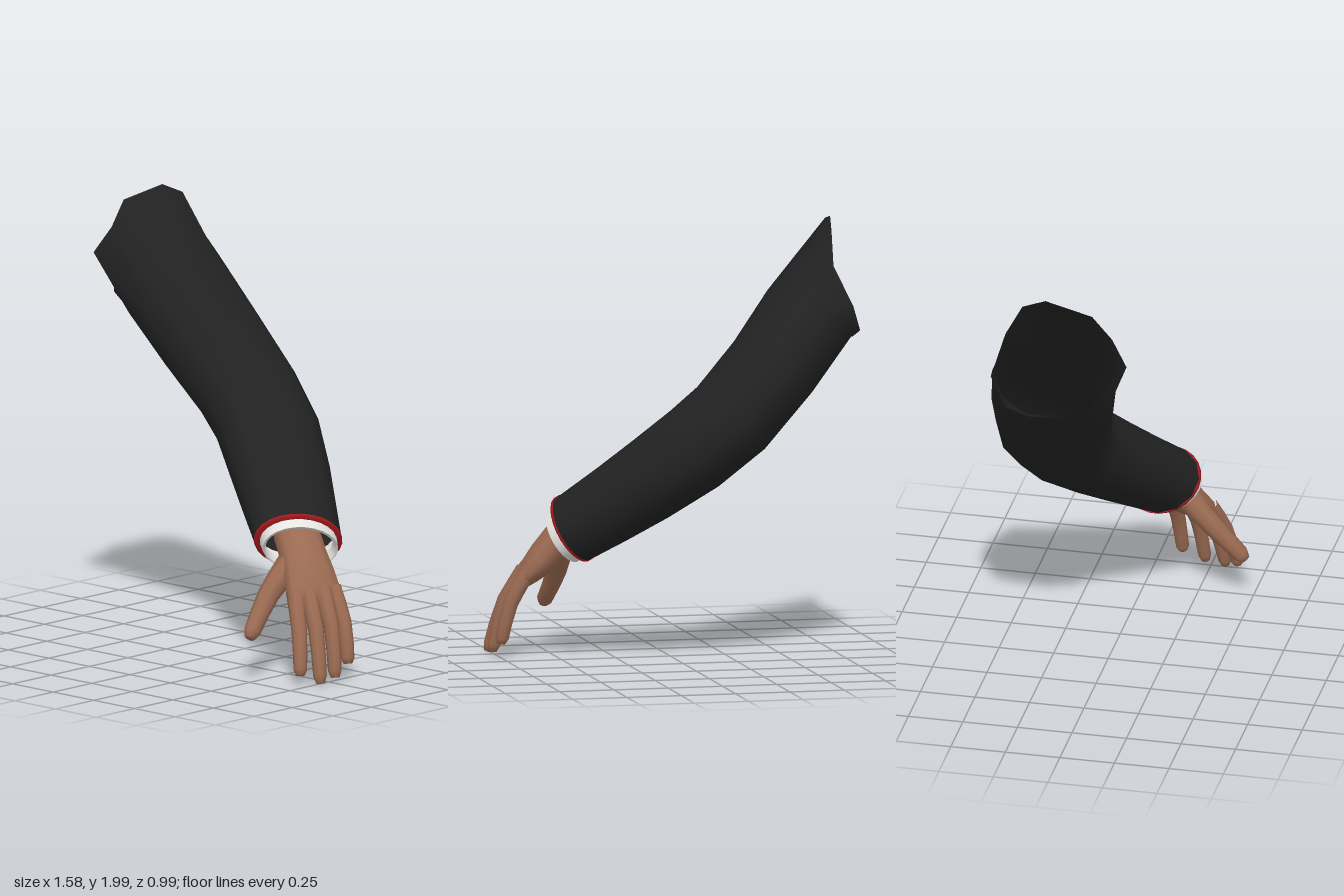
import * as THREE from 'three';

const vec = (p) => new THREE.Vector3(p[0], p[1], p[2]);

// Skin elliptical rings [x, y, z, a, b]: a is the half height, b the half width along `side`.
// `edge` replaces the points of the first ring; `cap` closes the far end.
function loft(rings, { segments = 12, side = [0, 0, 1], edge = null, cap = false } = {}) {
  const centres = rings.map(vec);
  const pos = [], index = [];
  rings.forEach(([, , , a, b], i) => {
    const t = centres[Math.min(i + 1, rings.length - 1)].clone()
      .sub(centres[Math.max(i - 1, 0)]).normalize();
    const v = vec(side);
    v.addScaledVector(t, -v.dot(t)).normalize();
    const u = v.clone().cross(t);
    for (let j = 0; j < segments; j++) {
      const ang = (j / segments) * Math.PI * 2;
      const p = i === 0 && edge ? vec(edge[j])
        : centres[i].clone().addScaledVector(u, a * Math.cos(ang)).addScaledVector(v, b * Math.sin(ang));
      pos.push(p.x, p.y, p.z);
    }
  });
  for (let i = 0; i < rings.length - 1; i++) {
    for (let j = 0; j < segments; j++) {
      const k = (j + 1) % segments, r = i * segments, s = r + segments;
      index.push(r + j, r + k, s + k, r + j, s + k, s + j);
    }
  }
  if (cap) {
    const c = centres[centres.length - 1], last = (rings.length - 1) * segments;
    pos.push(c.x, c.y, c.z);
    for (let j = 0; j < segments; j++) index.push(last + j, last + ((j + 1) % segments), last + segments);
  }
  const g = new THREE.BufferGeometry();
  g.setAttribute('position', new THREE.Float32BufferAttribute(pos, 3));
  g.setIndex(index);
  g.computeVertexNormals();
  return g;
}

// Tapered digit along a smooth path, with a blunt tip
function digit(points, r0, r1) {
  const curve = new THREE.CatmullRomCurve3(points.map(vec));
  const rings = [0, 0.25, 0.5, 0.75, 0.93, 1].map((t) => {
    const p = curve.getPoint(t);
    const r = t === 1 ? r1 * 0.65 : r0 + (r1 - r0) * t;
    return [p.x, p.y, p.z, r, r];
  });
  return loft(rings, { segments: 8, cap: true });
}

export function createModel() {
  const model = new THREE.Group();
  model.name = 'arm';
  const mat = (name, color) => {
    const m = new THREE.MeshStandardMaterial({ color });
    m.name = name;
    return m;
  };
  const cloth = mat('black cloth', 0x222222);
  const trimRed = mat('red trim', 0xb01c20);
  const linen = mat('white linen', 0xe6e5e2);
  const skin = mat('brown skin', 0x9c6b52);
  for (const m of [cloth, trimRed, linen]) m.side = THREE.DoubleSide;

  const add = (name, geometry, material, parent = model) => {
    const mesh = new THREE.Mesh(geometry, material);
    mesh.name = name;
    parent.add(mesh);
  };

  // Sleeve with a torn shoulder edge, listed from the top round the front
  const tornEdge = [
    [-0.69, 2.0, -0.19], [-0.72, 1.96, 0.03], [-0.71, 1.85, 0.12], [-0.75, 1.74, 0.195],
    [-0.68, 1.65, 0.13], [-0.78, 1.53, 0.03], [-0.79, 1.47, -0.1], [-0.78, 1.46, -0.25],
    [-0.79, 1.5, -0.35], [-0.74, 1.62, -0.43], [-0.66, 1.8, -0.38], [-0.67, 1.95, -0.3],
  ];
  add('sleeve', loft([
    [-0.73, 1.72, -0.12, 0.2, 0.28],
    [-0.6, 1.56, -0.17, 0.21, 0.28],
    [-0.42, 1.33, -0.22, 0.205, 0.275],
    [-0.22, 1.11, -0.25, 0.205, 0.257],
    [-0.06, 0.97, -0.21, 0.2, 0.25],
    [0.12, 0.82, -0.1, 0.185, 0.24],
    [0.27, 0.7, 0.0, 0.17, 0.225],
    [0.42, 0.585, 0.1, 0.155, 0.21],
  ], { edge: tornEdge }), cloth);

  // Rings placed along the wrist axis at distance d past the sleeve end
  const axis = new THREE.Vector3(0.7, -0.55, 0.45).normalize();
  const wrist = (d, a, b) => [0.42 + axis.x * d, 0.585 + axis.y * d, 0.1 + axis.z * d, a, b];

  add('sleeveTrim', loft([
    wrist(-0.004, 0.157, 0.212), wrist(0.008, 0.157, 0.212), wrist(0.009, 0.13, 0.18),
  ], { segments: 24 }), trimRed);
  add('shirtCuff', loft([
    wrist(-0.05, 0.14, 0.19), wrist(0.0, 0.137, 0.187), wrist(0.055, 0.132, 0.182),
  ], { segments: 24 }), linen);
  add('shirtCuffRim', loft([
    wrist(0.055, 0.132, 0.182), wrist(0.054, 0.12, 0.17), wrist(0.01, 0.115, 0.165),
  ], { segments: 24 }), linen);

  // Hand: palm, four fingers and thumb
  const hand = new THREE.Group();
  hand.name = 'hand';
  model.add(hand);
  add('palm', loft([
    [0.4, 0.61, 0.09, 0.085, 0.11],
    [0.48, 0.53, 0.13, 0.082, 0.112],
    [0.54, 0.455, 0.155, 0.076, 0.125],
    [0.6, 0.385, 0.185, 0.058, 0.138],
    [0.64, 0.33, 0.2, 0.03, 0.115],
  ], { side: [-0.3, 0, 1], cap: true }), skin, hand);

  const fingers = {
    indexFinger: [[0.57, 0.4, 0.28], [0.655, 0.24, 0.34], [0.705, 0.05, 0.385]],
    middleFinger: [[0.6, 0.4, 0.23], [0.695, 0.25, 0.275], [0.763, 0.012, 0.315]],
    ringFinger: [[0.63, 0.4, 0.165], [0.715, 0.25, 0.195], [0.765, 0.024, 0.222]],
    littleFinger: [[0.63, 0.4, 0.1], [0.71, 0.25, 0.108], [0.75, 0.07, 0.122]],
  };
  for (const [name, path] of Object.entries(fingers)) add(name, digit(path, 0.04, 0.03), skin, hand);
  add('thumb', digit([[0.46, 0.5, 0.19], [0.445, 0.37, 0.32], [0.472, 0.2, 0.47]], 0.062, 0.036), skin, hand);

  return model;
}
